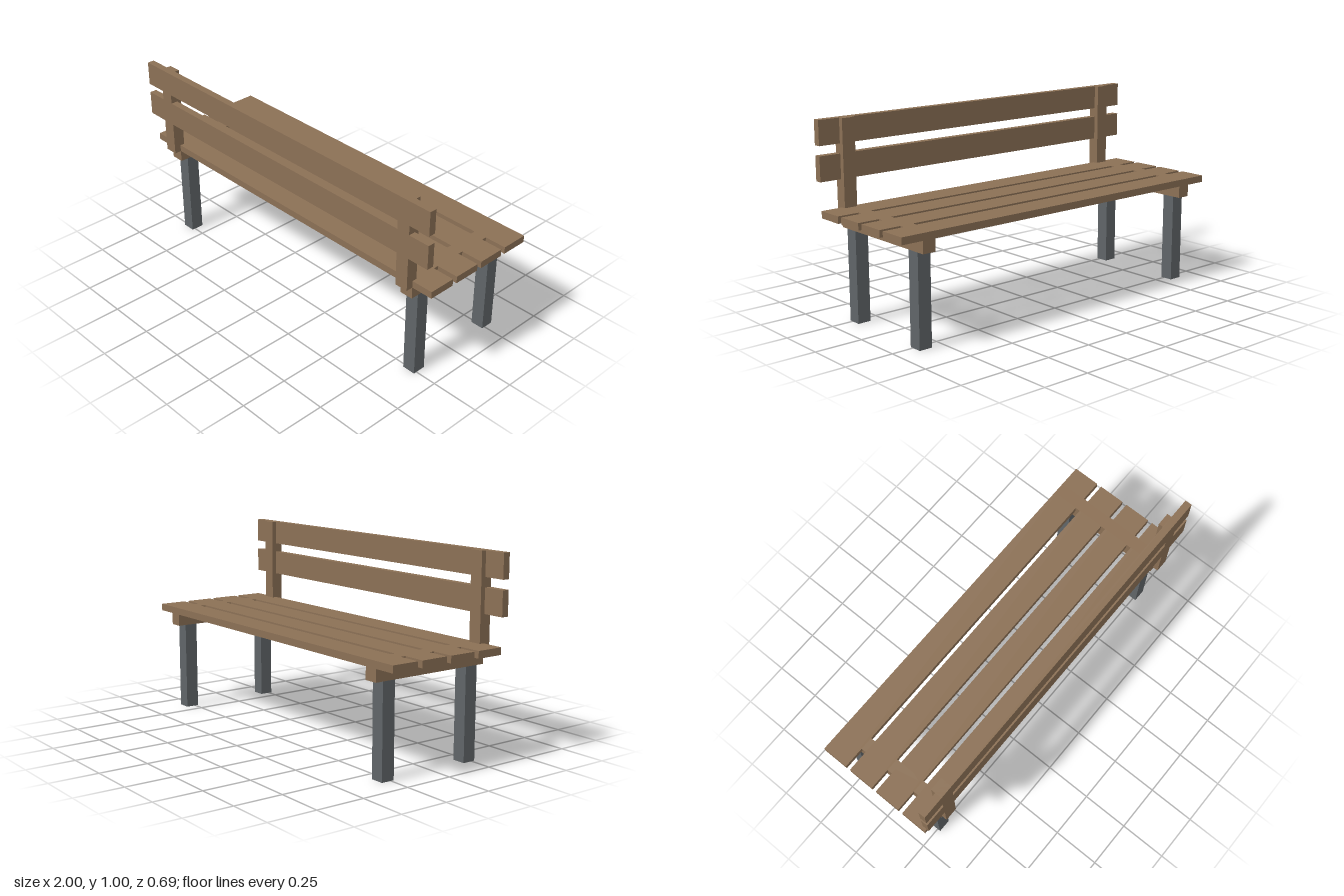
import * as THREE from 'three';

export function createModel() {
  const bench = new THREE.Group();
  bench.name = 'bench';

  const wood = new THREE.MeshStandardMaterial({ color: 0x8b7055 });
  wood.name = 'brown wood';
  const metal = new THREE.MeshStandardMaterial({ color: 0x606568 });
  metal.name = 'grey metal';

  // Box given by its lower and upper limits on each axis
  function addBox(name, [x0, x1], [y0, y1], [z0, z1], material) {
    const geometry = new THREE.BoxGeometry(x1 - x0, y1 - y0, z1 - z0);
    const mesh = new THREE.Mesh(geometry, material);
    mesh.position.set((x0 + x1) / 2, (y0 + y1) / 2, (z0 + z1) / 2);
    mesh.name = name;
    bench.add(mesh);
  }

  // Four long seat slats with narrow gaps
  for (let i = 0; i < 4; i++) {
    const z = -0.343 + i * 0.1693;
    addBox('seatSlat', [-1, 1], [0.527, 0.563], [z, z + 0.143], wood);
  }

  // Two backrest slats, flush with the front of the posts
  for (const y of [[0.702, 0.827], [0.876, 1]]) {
    addBox('backrestSlat', [-1, 1], y, [0.308, 0.345], wood);
  }

  // Supports on each side
  for (const [side, x] of [['left', [0.815, 0.885]], ['right', [-0.885, -0.815]]]) {
    // The rail fills the slat gaps to seat level; its underside is metal
    addBox(side + 'SeatRail', x, [0.465, 0.563], [-0.343, 0.308],
      [wood, wood, wood, metal, wood, wood]);
    addBox(side + 'BackrestPost', x, [0.527, 1], [0.283, 0.345], wood);
    addBox(side + 'FrontLeg', x, [0, 0.465], [0.198, 0.267], metal);
    addBox(side + 'BackLeg', x, [0, 0.465], [-0.302, -0.233], metal);
  }

  return bench;
}
